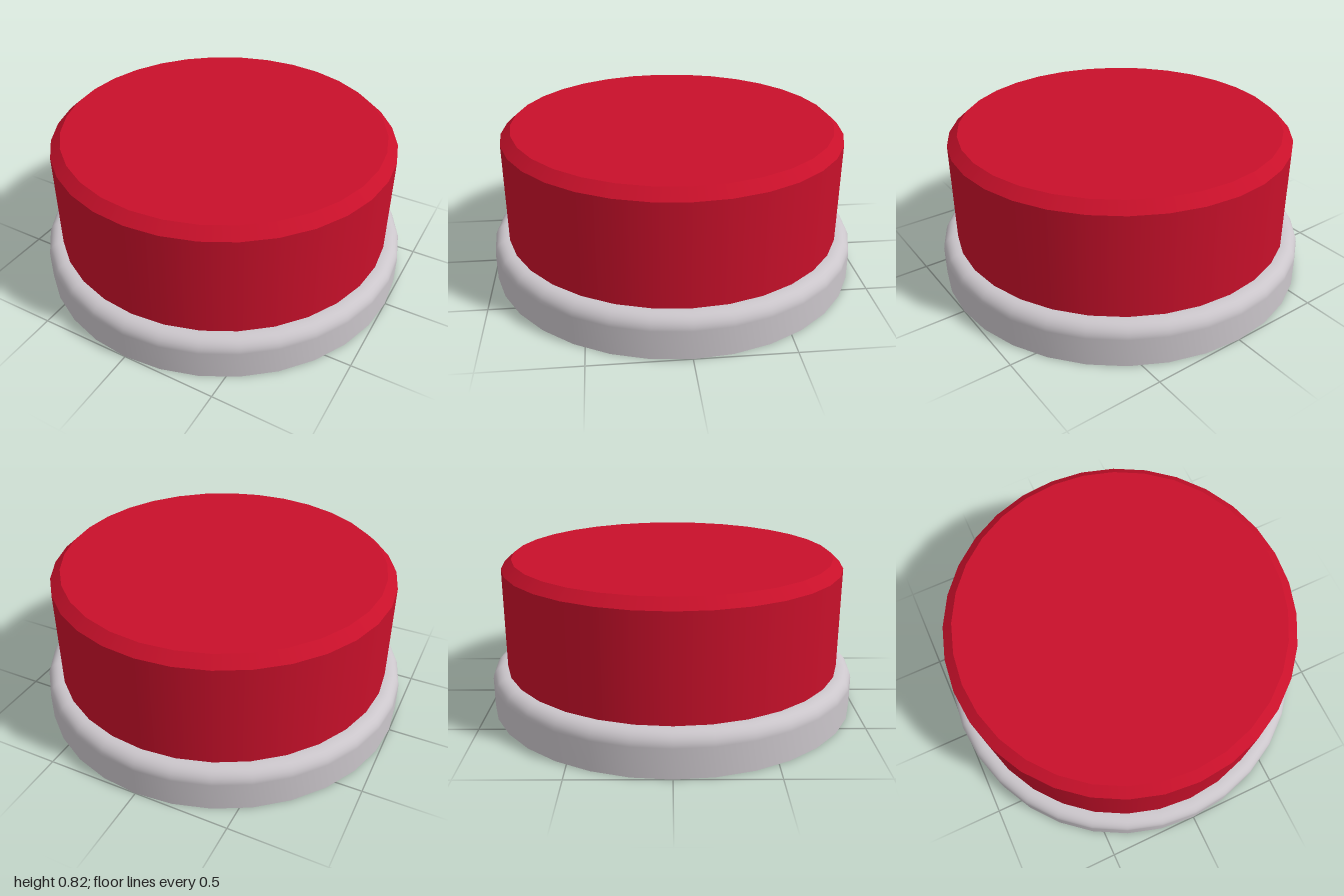
import * as THREE from 'three';

const SIDES = 32;

export function createModel() {
  const group = new THREE.Group();
  const red = new THREE.MeshStandardMaterial({ color: 0xc8102a, side: THREE.DoubleSide });
  const grey = new THREE.MeshStandardMaterial({ color: 0xcbc6cb, side: THREE.DoubleSide });

  const add = (name, geometry, material) => {
    const mesh = new THREE.Mesh(geometry, material);
    mesh.name = name;
    group.add(mesh);
    return mesh;
  };
  // Open shell turned from a [radius, height] profile, listed bottom to top
  const turn = (profile) =>
    new THREE.LatheGeometry(profile.map(([r, y]) => new THREE.Vector2(r, y)), SIDES);

  // Base ring: straight wall, rounded shoulder, open underneath
  const fillet = 0.07, ringTop = 0.225;
  const ring = [[1, 0]];
  for (let i = 0; i <= 6; i++) {
    const a = (i / 6) * Math.PI / 2;
    ring.push([1 - fillet + fillet * Math.cos(a), ringTop - fillet + fillet * Math.sin(a)]);
  }
  ring.push([0.917, ringTop]);
  add('baseRing', turn(ring), grey);

  // Hollow button: wall, chamfer and flat top kept apart for crisp edges
  add('buttonWall', turn([[0.917, ringTop], [0.917, 0.77]]), red);
  add('buttonChamfer', turn([[0.917, 0.77], [0.862, 0.82]]), red);
  const top = add('buttonTop', new THREE.CircleGeometry(0.862, SIDES).rotateX(-Math.PI / 2), red);
  top.position.y = 0.82;

  return group;
}
